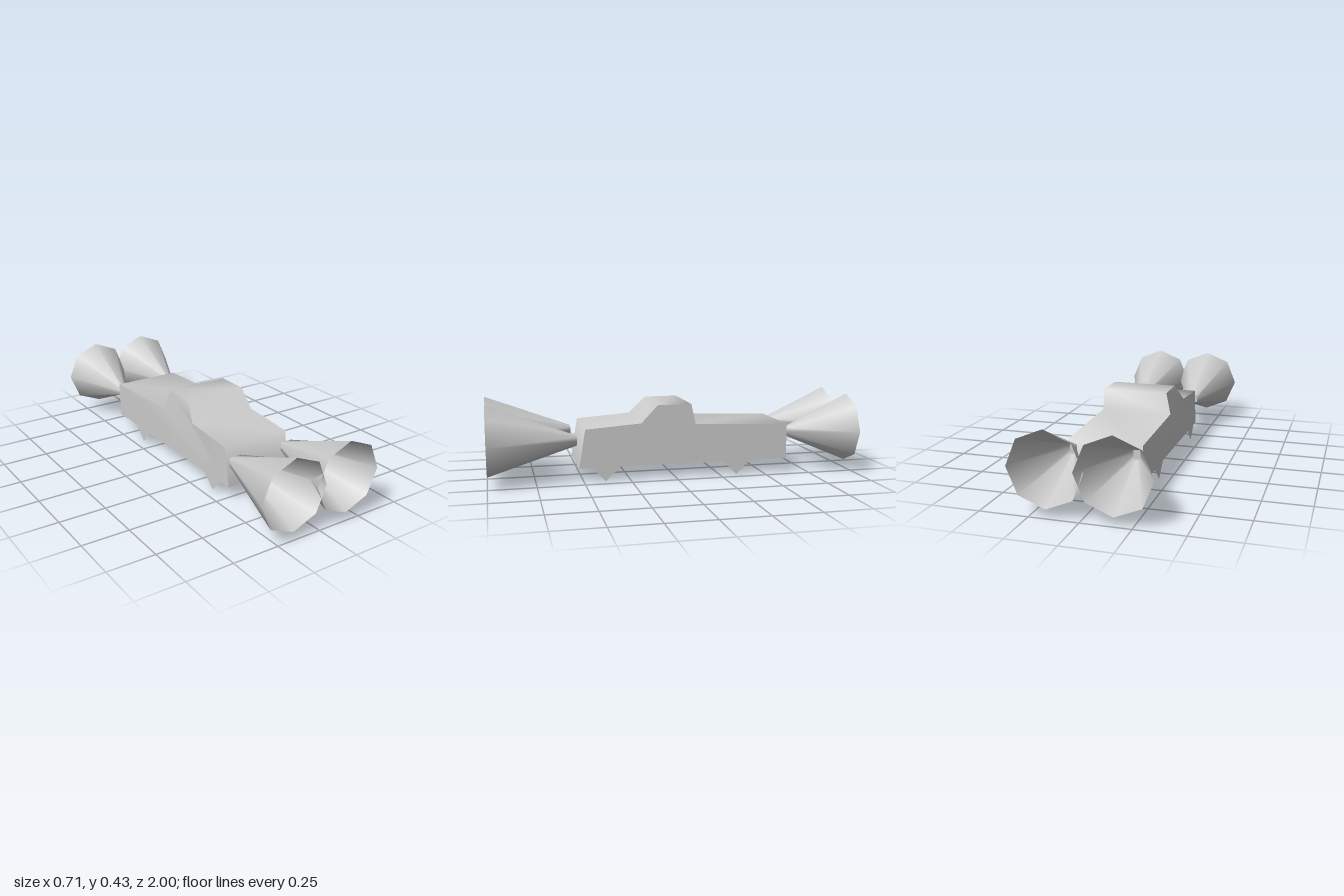
import * as THREE from 'three';

const material = new THREE.MeshStandardMaterial({ color: 0xcccccc, side: THREE.DoubleSide });

// Side outline of the body as [z, y], from the front bottom over the cab to the rear bottom
const PROFILE = [
  [0.525, 0.075], [0.49, 0.283], [0.19, 0.305], [0.10, 0.40],
  [-0.085, 0.40], [-0.11, 0.29], [-0.635, 0.27], [-0.635, 0.075],
];
const HALF_WIDTH = 0.192;
const ROOF_INSET = 0.03; // the roof is drawn in on the right side only

function addMesh(parent, geometry, name) {
  const mesh = new THREE.Mesh(geometry, material);
  mesh.name = name;
  parent.add(mesh);
  return mesh;
}

function indexed(points, faces) {
  const geometry = new THREE.BufferGeometry();
  geometry.setAttribute('position', new THREE.Float32BufferAttribute(points.flat(), 3));
  geometry.setIndex(faces.flat());
  geometry.computeVertexNormals();
  return geometry;
}

// Outline on one side: +1 is the left, -1 the right
function sidePoints(side) {
  return PROFILE.map(([z, y]) => {
    const inset = side < 0 && y > 0.35 ? ROOF_INSET : 0;
    return [side * (HALF_WIDTH - inset), y, z];
  });
}

// Hollow shell, open underneath
function createBody() {
  const body = new THREE.Group();
  body.name = 'body';
  const n = PROFILE.length;
  const skin = [];
  for (let i = 0; i < n - 1; i++) {
    skin.push([i, i + n, i + 1], [i + 1, i + n, i + n + 1]);
  }
  addMesh(body, indexed([...sidePoints(-1), ...sidePoints(1)], skin), 'hoodCabAndDeck');

  const outline = PROFILE.map(([z, y]) => new THREE.Vector2(z, y));
  const faces = THREE.ShapeUtils.triangulateShape(outline, []);
  for (const side of [-1, 1]) {
    // Turn each triangle so that it faces outward
    const oriented = faces.map(([a, b, c]) => {
      const [p, q, r] = [outline[a], outline[b], outline[c]];
      const area = (q.x - p.x) * (r.y - p.y) - (q.y - p.y) * (r.x - p.x);
      return area * side < 0 ? [a, b, c] : [a, c, b];
    });
    addMesh(body, indexed(sidePoints(side), oriented), side > 0 ? 'leftSide' : 'rightSide');
  }
  return body;
}

// Open cone that widens from a small rectangular lamp to an octagon
function createBeam(zLamp, zEnd, halfW, halfH) {
  const beam = new THREE.Group();
  const lampY = 0.224, endY = 0.236, radius = 0.19;
  const lamp = [], end = [];
  for (let i = 0; i < 8; i++) {
    const a = (i * Math.PI) / 4;
    const c = Math.cos(a), s = Math.sin(a);
    const m = Math.max(Math.abs(c), Math.abs(s));
    lamp.push([(c / m) * halfW, lampY + (s / m) * halfH, zLamp]);
    end.push([c * radius, endY + s * radius, zEnd]);
  }
  const forward = zEnd > zLamp;
  const faces = [];
  for (let i = 0; i < 8; i++) {
    const j = (i + 1) % 8;
    const quad = [[i, j, i + 8], [j, j + 8, i + 8]];
    faces.push(...quad.map((f) => (forward ? f : [f[0], f[2], f[1]])));
  }
  addMesh(beam, indexed([...lamp, ...end], faces), 'beamCone');
  const glass = addMesh(beam, new THREE.PlaneGeometry(halfW * 2, halfH * 2), 'lampFace');
  glass.position.set(0, lampY, zLamp);
  if (!forward) glass.rotation.y = Math.PI;
  return beam;
}

export function createModel() {
  const model = new THREE.Group();
  model.name = 'pickupTruck';
  model.add(createBody());

  for (const side of [-1, 1]) {
    const label = side > 0 ? 'Left' : 'Right';

    // Light beams
    const front = createBeam(0.535, 1, 0.033, 0.022);
    front.name = 'frontBeam' + label;
    front.position.x = side * 0.163;
    const rear = createBeam(-0.638, -1, 0.018, 0.024);
    rear.name = 'rearBeam' + label;
    rear.position.x = side * 0.163;
    model.add(front, rear);

    // Wheels are flat diamonds against the sides
    for (const [z, name] of [[0.383, 'frontWheel'], [-0.345, 'rearWheel']]) {
      const wheel = addMesh(model, new THREE.CircleGeometry(0.09, 4), name + label);
      wheel.rotation.y = (side * Math.PI) / 2;
      wheel.position.set(side * (HALF_WIDTH + 0.002), 0.09, z);
    }
  }
  return model;
}
